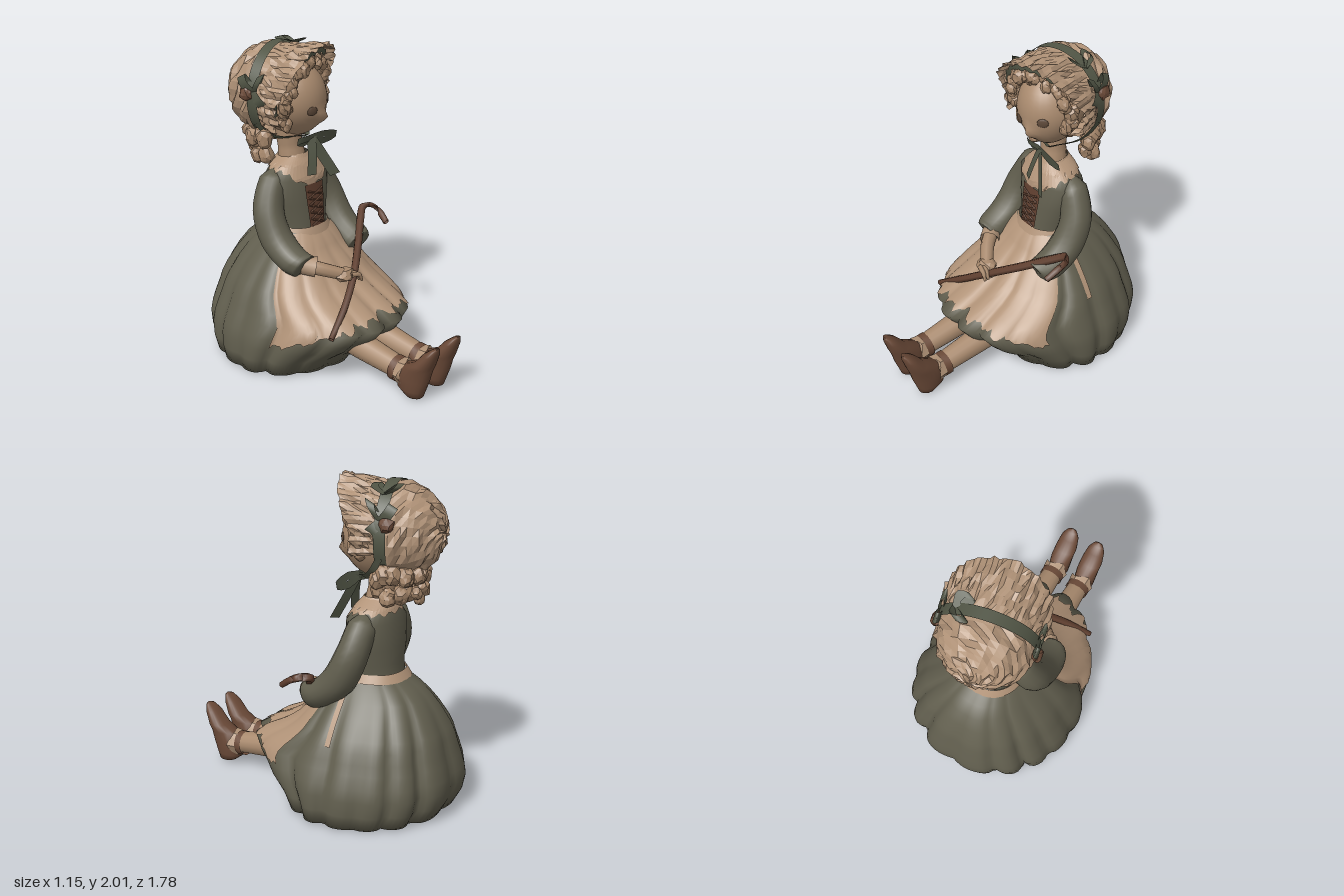
import * as THREE from 'three';
import { mergeVertices, mergeGeometries } from 'three/addons/utils/BufferGeometryUtils.js';

const mat = (name, color) => new THREE.MeshStandardMaterial({ name, color, side: THREE.DoubleSide });
const V = (p) => new THREE.Vector3(...p);
let seed = 7;
const rnd = () => (seed = (seed * 16807) % 2147483647) / 2147483647;
const jit = (a) => (rnd() * 2 - 1) * a;

// Grid of points: rows i run down, columns j run to the right
function grid(nv, nu, fn, flat = false) {
  const pos = [], idx = [];
  for (let i = 0; i <= nv; i++) for (let j = 0; j <= nu; j++) pos.push(...fn(i / nv, j / nu));
  for (let i = 0; i < nv; i++) for (let j = 0; j < nu; j++) {
    const a = i * (nu + 1) + j, c = a + nu + 1;
    idx.push(a, c, a + 1, a + 1, c, c + 1);
  }
  let g = new THREE.BufferGeometry();
  g.setAttribute('position', new THREE.Float32BufferAttribute(pos, 3));
  g.setIndex(idx);
  g = mergeVertices(g);
  if (flat) g = g.toNonIndexed();
  g.computeVertexNormals();
  return g;
}

// Surface from rows of [y, half width, front z, back z], listed top to bottom
function surface(rows, cz, pleat = () => 1) {
  return (phi, y, scale = 1) => {
    let k = 0;
    while (k < rows.length - 2 && y < rows[k + 1][0]) k++;
    const a = rows[k], b = rows[k + 1];
    const t = THREE.MathUtils.clamp((a[0] - y) / (a[0] - b[0]), 0, 1);
    const [, w, f, r] = a.map((n, i) => n + (b[i] - n) * t);
    const c = cz ?? (f + r) / 2, s = Math.sin(phi), m = scale * pleat(phi, y);
    const x = w * Math.sign(s) * Math.abs(s) ** 0.9 * m;
    const z = Math.cos(phi) * (Math.cos(phi) > 0 ? f - c : c - r) * m;
    return [x, y, c + z];
  };
}
const body = (surf, rows, nu) => grid(rows.length - 1, nu, (v, u) =>
  surf((u * 2 - 1) * Math.PI, rows[Math.round(v * (rows.length - 1))][0]));
const patch = (surf, phi0, phi1, top, bottom, nv, nu, scale, flat) => grid(nv, nu, (v, u) => {
  const phi = phi0 + (phi1 - phi0) * u;
  return surf(phi, top + (bottom(phi, u) - top) * v, scale);
}, flat);

// Round limb along a path with one radius per point
function limb(pts, radii, nu = 12, nv = 14) {
  const curve = new THREE.CatmullRomCurve3(pts.map(V)), fr = curve.computeFrenetFrames(nv);
  return grid(nv, nu, (v, u) => {
    const i = Math.round(v * nv), q = v * (radii.length - 1), k = Math.min(Math.floor(q), radii.length - 2);
    const r = radii[k] + (radii[k + 1] - radii[k]) * (q - k), a = u * Math.PI * 2;
    return curve.getPoint(v).addScaledVector(fr.normals[i], Math.cos(a) * r)
      .addScaledVector(fr.binormals[i], -Math.sin(a) * r).toArray();
  });
}

// Flat ribbon along a path, spread along a width vector
function strip(pts, width) {
  const curve = new THREE.CatmullRomCurve3(pts.map(V)), w = V(width);
  return grid(8, 1, (v, u) => curve.getPoint(v).addScaledVector(w, u - 0.5).toArray());
}

// Facetted, crumpled version of a closed geometry
function rough(geo, amount) {
  geo.deleteAttribute('uv');
  geo.deleteAttribute('normal');
  let g = mergeVertices(geo, 1e-4);
  const p = g.attributes.position;
  for (let i = 0; i < p.count; i++) {
    const s = 1 + jit(amount);
    p.setXYZ(i, p.getX(i) * s, p.getY(i) * s, p.getZ(i) * s);
  }
  g = g.toNonIndexed();
  g.computeVertexNormals();
  return g;
}
const lump = (p, r, sx = 1, sy = 1, sz = 1) =>
  rough(new THREE.IcosahedronGeometry(r, 1), 0.16).scale(sx, sy, sz).translate(...p);

export function createModel() {
  seed = 7;
  const root = new THREE.Group();
  root.name = 'seatedDoll';
  const linen = mat('linen', 0xb19378), skin = mat('skin', 0xa98a6e), hair = mat('hair', 0xa5866a);
  const dress = mat('dressGreen', 0x615e4e), ribbon = mat('ribbonGreen', 0x525646);
  const leather = mat('leather', 0x6b4a38), wood = mat('wood', 0x614030), dark = mat('eyeBrown', 0x5f4a3a);
  const add = (name, geo, material, parent = root) => {
    const m = new THREE.Mesh(geo, material);
    m.name = name;
    parent.add(m);
    return m;
  };

  // Skirt with uneven pleats, spread over the lap
  const skirtRows = [[0.83, 0.18, -0.15, -0.51], [0.76, 0.25, -0.09, -0.62], [0.7, 0.3, -0.05, -0.69],
    [0.62, 0.37, 0.03, -0.75], [0.52, 0.44, 0.13, -0.81], [0.46, 0.475, 0.23, -0.835], [0.4, 0.5, 0.36, -0.85],
    [0.34, 0.525, 0.46, -0.87], [0.26, 0.56, 0.4, -0.89], [0.19, 0.575, 0.33, -0.9], [0.1, 0.58, 0.2, -0.88],
    [0.01, 0.57, 0.14, -0.83], [0, 0.001, -0.269, -0.271]];
  const skirt = surface(skirtRows, -0.27, (phi, y) => {
    const depth = (0.065 + 0.03 * Math.sin(phi * 5 + 1)) * THREE.MathUtils.clamp((0.85 - y) / 0.4, 0, 1);
    return 1 - depth * (1 - Math.abs(Math.sin(8 * phi + 0.6 * Math.sin(3 * phi)))) ** 1.4;
  });
  add('skirt', body(skirt, skirtRows, 128), dress);

  // Apron, ragged along its lower edge and hanging lower on its right, with a sash end
  add('apron', patch(skirt, -1.25, 1.08, 0.82, (phi, u) => 0.39 - (phi < 0 ? 0.12 : 0.1) * phi * phi
    + 0.014 * Math.sin(u * 71) + 0.008 * Math.sin(u * 173), 14, 64, 1.022), linen);
  add('sashEnd', strip([0.76, 0.66, 0.56, 0.47].map((y) => skirt(1.6, y, 1.035)), [0, 0, 0.035]), linen);
  const bandRows = [[0.85, 0.19, -0.14, -0.52], [0.8, 0.215, -0.12, -0.555]];
  add('waistband', body(surface(bandRows, -0.33), bandRows, 32), linen);

  // Bodice, collar and laced panel
  const torsoRows = [[1.29, 0.075, -0.27, -0.44], [1.24, 0.16, -0.23, -0.465], [1.16, 0.235, -0.19, -0.49],
    [1, 0.215, -0.17, -0.505], [0.9, 0.19, -0.16, -0.5], [0.81, 0.18, -0.15, -0.51]];
  const torso = surface(torsoRows, -0.33);
  add('bodice', body(torso, torsoRows, 32), dress);
  add('collar', patch(torso, -Math.PI, Math.PI, 1.295, (phi, u) =>
    1.215 - 0.1 * Math.max(0, Math.cos(phi)) ** 4 + 0.012 * Math.sin(u * 88), 8, 48, 1.05, true), linen);
  add('lacedPanel', patch(torso, -0.29, 0.29, 1.12, () => 0.84, 6, 8, 1.06), wood);
  const laces = [];
  for (let k = 0; k < 5; k++) for (const s of [-1, 1]) {
    const y = 1.08 - k * 0.045;
    const path = [-0.23, 0, 0.23].map((p, i) => V(torso(p * s, y - i * 0.022, 1.09)));
    laces.push(new THREE.TubeGeometry(new THREE.CatmullRomCurve3(path), 4, 0.006, 5));
  }
  add('laces', mergeGeometries(laces), leather);
  add('neck', limb([[-0.01, 1.22, -0.35], [-0.02, 1.34, -0.36], [-0.03, 1.46, -0.37]], [0.095, 0.08, 0.085]), skin);

  // Sleeves
  for (const s of [-1, 1])
    add(s > 0 ? 'leftSleeve' : 'rightSleeve', limb([[s * 0.12, 1.21, -0.35], [s * 0.185, 1.145, -0.35], [s * 0.262, 0.97, -0.32],
      [s * 0.275, 0.8, -0.23], [s * 0.27, 0.7, -0.09], [s * 0.255, 0.68, -0.03], [s * 0.25, 0.675, -0.025]],
    [0.02, 0.088, 0.1, 0.106, 0.1, 0.085, 0.001], 14, 24), dress);

  // Right forearm and hand holding the crook; the left hand is hidden in its sleeve
  const arm = new THREE.Group();
  arm.name = 'rightForearm';
  root.add(arm);
  add('cuffFrill', limb([[-0.25, 0.685, -0.06], [-0.19, 0.67, 0.01]], [0.06, 0.065], 9, 2), linen, arm);
  add('wrist', limb([[-0.26, 0.69, -0.08], [-0.18, 0.66, 0.03], [-0.06, 0.61, 0.13]], [0.05, 0.045, 0.04], 8), skin, arm);
  add('palm', lump([-0.06, 0.61, 0.13], 0.055, 1.25, 0.75, 1), skin, arm);
  for (let k = 0; k < 4; k++) {
    const z = 0.11 + k * 0.024;
    add('finger', limb([[-0.06, 0.62, z], [-0.005, 0.612, z + 0.015], [0.02, 0.565, z + 0.02]],
      [0.018, 0.016, 0.008], 6, 5), skin, arm);
  }

  // Crook lying across the lap
  add('crook', limb([[-0.365, 0.335, 0.29], [-0.18, 0.465, 0.235], [0, 0.59, 0.15], [0.18, 0.705, 0.03], [0.33, 0.805, -0.08],
    [0.41, 0.855, -0.125], [0.45, 0.86, -0.09], [0.45, 0.83, -0.02], [0.435, 0.78, 0.05]],
  [0.018, 0.024, 0.026, 0.027, 0.027, 0.026, 0.024, 0.023, 0.02], 6, 32), wood);

  // Legs, socks and shoes
  const shoeRows = [[0.38, 0.001, 0.885, 0.883], [0.37, 0.035, 0.89, 0.85], [0.33, 0.06, 0.885, 0.8], [0.25, 0.073, 0.86, 0.735],
    [0.21, 0.073, 0.845, 0.65], [0.13, 0.07, 0.825, 0.61], [0.06, 0.066, 0.8, 0.61], [0.015, 0.05, 0.785, 0.67], [0.01, 0.001, 0.75, 0.74]];
  for (const s of [-1, 1]) {
    const leg = new THREE.Group();
    leg.name = s > 0 ? 'leftLeg' : 'rightLeg';
    leg.position.x = s * 0.102;
    root.add(leg);
    add('shin', limb([[0, 0.25, 0.05], [0, 0.2, 0.3], [0, 0.145, 0.66]], [0.09, 0.085, 0.066], 14), skin, leg);
    add('ankleStrap', limb([[0, 0.152, 0.575], [0, 0.147, 0.62]], [0.08, 0.08], 14, 1), leather, leg);
    add('sockFrill', grid(2, 18, (v, u) => {
      const a = -u * Math.PI * 2, r = 0.074 + 0.008 * v + 0.006 * Math.cos(a * 6);
      return [Math.cos(a) * r, 0.145 + Math.sin(a) * r, 0.615 + (0.05 + 0.015 * Math.cos(a * 3)) * v];
    }, true), linen, leg);
    add('shoe', body(surface(shoeRows), shoeRows, 20), leather, leg);
  }

  // Head, turned a little to its left
  const head = new THREE.Group();
  head.name = 'head';
  head.position.set(-0.035, 1.66, -0.4);
  head.rotation.set(0, 0.21, 0.1);
  root.add(head);
  const face = new THREE.SphereGeometry(1, 32, 24), fp = face.attributes.position;
  for (let i = 0; i < fp.count; i++) {
    const x = fp.getX(i), y = fp.getY(i), z = fp.getZ(i), taper = 1 - 0.22 * Math.max(0, -y) ** 1.5;
    const nose = z > 0 ? 0.045 * Math.exp(-((x / 0.16) ** 2) - ((y + 0.4) / 0.17) ** 2) : 0;
    fp.setXYZ(i, x * 0.2 * taper, y * 0.245 - 0.01, z * 0.225 + 0.06 + nose);
  }
  face.computeVertexNormals();
  add('face', face, skin, head);
  for (const s of [-1, 1]) {
    const eye = add('eye', new THREE.SphereGeometry(1, 10, 6), dark, head);
    eye.scale.set(0.036, 0.03, 0.008);
    eye.position.set(s * 0.09, -0.035 + s * 0.01, 0.259);
    eye.rotation.set(0.05, s * 0.48, 0);
  }

  // Curls around the face and at the nape
  const curls = [];
  for (let k = 0; k < 34; k++) {
    const a = (-35 + (250 * k) / 33) * Math.PI / 180, r = 0.215 + jit(0.02);
    curls.push(lump([Math.cos(a) * r, 0.01 + Math.sin(a) * r, 0.14 + 0.06 * Math.max(0, Math.sin(a)) + jit(0.03)],
      0.036 + jit(0.008), 1, 1.2, 0.9));
  }
  for (let k = 0; k < 36; k++) {
    const a = (k % 18) / 17 * Math.PI, low = k < 18 ? 0 : 1;
    curls.push(lump([Math.cos(a) * (0.23 - 0.04 * low) + jit(0.02), -0.22 - 0.1 * low + jit(0.03),
      -0.01 - Math.sin(a) * 0.19 + jit(0.025)], 0.045 + jit(0.01), 1, 1.15, 1));
  }
  add('curls', mergeGeometries(curls), hair, head);

  // Bonnet: crumpled crown and flared, ruffled brim
  const crown = rough(new THREE.SphereGeometry(0.285, 30, 14, 0, Math.PI * 2, 0, 1.75), 0.05);
  add('bonnetCrown', crown.rotateX(-Math.PI / 2).scale(1, 1, 0.98).translate(0, 0.03, -0.055), linen, head);
  add('bonnetBrim', grid(7, 52, (v, u) => {
    const a = (205 - 230 * u) * Math.PI / 180, up = Math.max(0, Math.sin(a));
    const r = 0.278 + 0.03 * v + v * 0.012 * Math.sin(u * 110) + jit(0.01);
    return [Math.cos(a) * r, 0.03 + Math.sin(a) * r, -0.05 + v * (0.19 + 0.16 * up) + jit(0.01)];
  }, true), linen, head);

  // Ribbon band, inner ribbon under the brim, side bows and flowers
  add('bonnetRibbon', grid(1, 36, (v, u) => {
    const a = (215 - 250 * u) * Math.PI / 180, r = 0.299;
    return [Math.cos(a) * r, 0.03 + Math.sin(a) * r, -0.065 + 0.07 * v];
  }), ribbon, head);
  add('innerRibbon', grid(1, 36, (v, u) => {
    const a = (195 - 150 * u) * Math.PI / 180, r = 0.248 + 0.036 * (1 - v) + 0.006 * Math.sin(u * 60);
    return [Math.cos(a) * r, 0.03 + Math.sin(a) * r, 0.11 + 0.13 * Math.max(0, Math.sin(a))];
  }), ribbon, head);
  for (const s of [-1, 1]) {
    add('flower', lump([s * 0.29, 0.09, -0.07], 0.045, 0.7, 1, 1), leather, head);
    for (const [dy, dz] of [[0.12, 0.05], [0.1, -0.05], [-0.08, 0.05]])
      add('bowLoop', strip([[s * 0.285, 0.1, -0.03], [s * 0.3, 0.1 + dy * 0.6, -0.03 + dz], [s * 0.28, 0.1 + dy, -0.03 + dz * 1.4],
        [s * 0.265, 0.1 + dy * 0.4, -0.03 + dz * 0.6]], [0, 0.03, 0.055]), ribbon, head);
    add('chinStrap', strip([[s * 0.275, -0.1, -0.03], [s * 0.2, -0.2, 0.04], [0.02, -0.265, 0.14]], [0, 0.02, 0.035]), ribbon, head);
  }
  for (const z of [-0.09, 0.04])
    add('topBowLoop', strip([[0.2, 0.25, -0.03], [0.2, 0.29, z], [0.13, 0.31, z], [0.19, 0.25, -0.02]], [0.045, 0, 0.03]), ribbon, head);

  // Bow and tails under the chin
  const bow = [
    [[0.01, 1.4, -0.22], [0.1, 1.41, -0.2], [0.23, 1.38, -0.2], [0.12, 1.36, -0.21], [0.01, 1.39, -0.22]],
    [[0.01, 1.4, -0.22], [-0.05, 1.41, -0.2], [-0.1, 1.4, -0.22], [-0.05, 1.38, -0.22], [0.01, 1.39, -0.22]]];
  for (const p of bow) add('chinBow', strip(p, [0, 0.045, 0.01]), ribbon);
  add('ribbonTail', strip([[0.02, 1.4, -0.22], [0.0, 1.3, -0.19], [-0.03, 1.18, -0.17]], [0.055, 0, 0.025]), ribbon);
  add('ribbonTail', strip([[0.02, 1.4, -0.22], [0.08, 1.28, -0.18], [0.14, 1.15, -0.13]], [0.065, 0.015, 0.025]), ribbon);
  return root;
}
